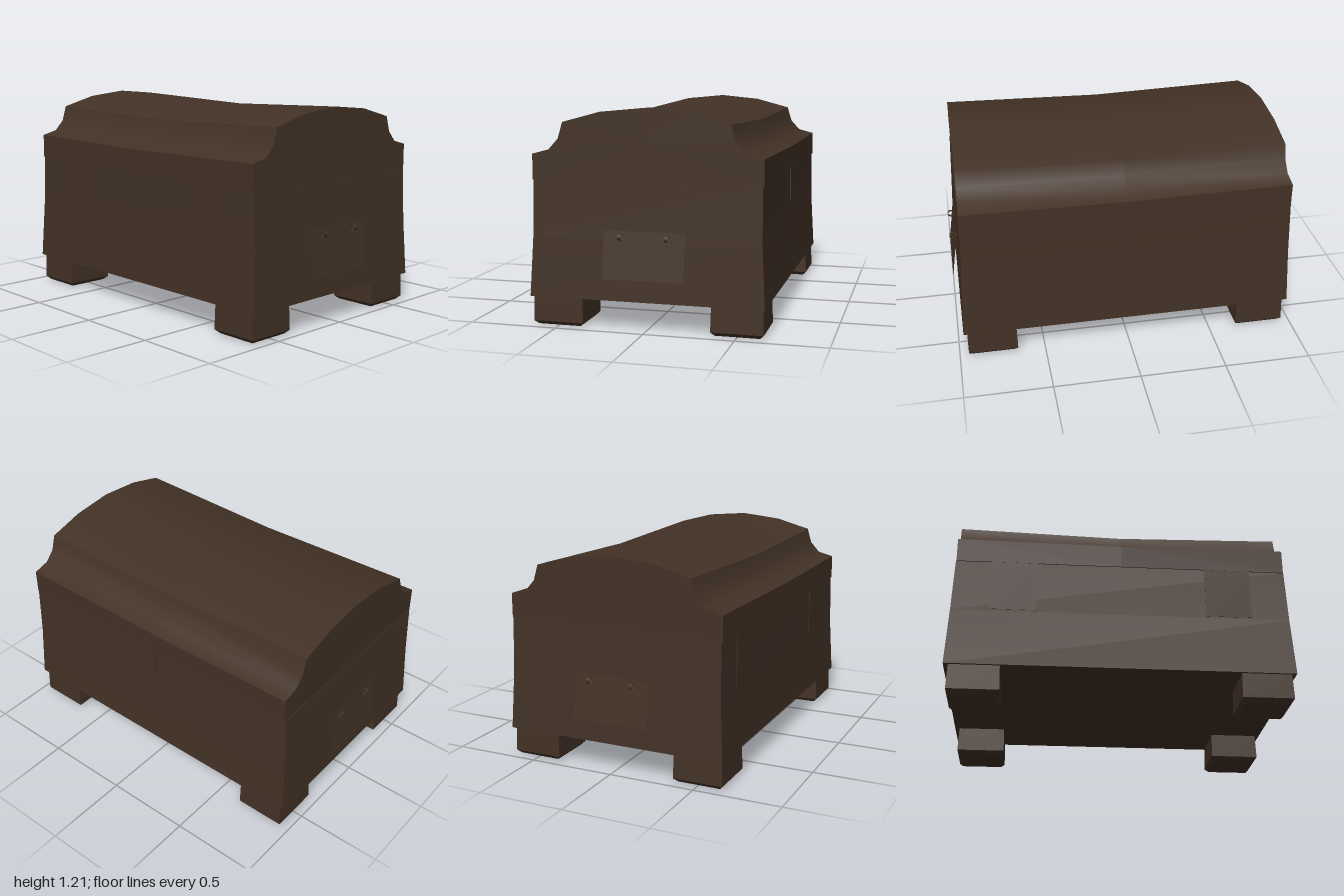
import * as THREE from 'three';
import { toCreasedNormals } from 'three/addons/utils/BufferGeometryUtils.js';

// Closed solid through matching loops of [x, y, z] points, capped at both ends
function loft(loops) {
  const pos = [];
  const tri = (...pts) => pts.forEach((p) => pos.push(...p));
  const n = loops[0].length;
  const centre = (loop) => [0, 1, 2].map((k) => loop.reduce((s, p) => s + p[k], 0) / n);
  const first = loops[0], last = loops[loops.length - 1];
  const c0 = centre(first), c1 = centre(last);
  for (let j = 0; j < n; j++) {
    const k = (j + 1) % n;
    for (let i = 0; i < loops.length - 1; i++) {
      const a = loops[i][j], b = loops[i][k], c = loops[i + 1][k], d = loops[i + 1][j];
      tri(a, b, c);
      tri(a, c, d);
    }
    tri(c0, first[k], first[j]);
    tri(c1, last[j], last[k]);
  }
  const geometry = new THREE.BufferGeometry();
  geometry.setAttribute('position', new THREE.Float32BufferAttribute(pos, 3));
  return toCreasedNormals(geometry, 0.7);
}

// Horizontal rectangle used as a loft section
const rect = (y, hx, hz) => [[-hx, y, hz], [hx, y, hz], [hx, y, -hz], [-hx, y, -hz]];

export function createModel() {
  const chest = new THREE.Group();
  chest.name = 'chest';
  const wood = new THREE.MeshStandardMaterial({ color: 0x433226, side: THREE.DoubleSide });

  const add = (name, geometry, x = 0, y = 0, z = 0, parent = chest) => {
    const mesh = new THREE.Mesh(geometry, wood);
    mesh.name = name;
    mesh.position.set(x, y, z);
    parent.add(mesh);
    return mesh;
  };

  // Flared body
  add('body', loft([rect(0.165, 0.97, 0.655), rect(0.5, 0.955, 0.637), rect(0.81, 0.943, 0.634)]));

  // Domed lid with coved shoulders, sagging towards the middle
  const half = [[0.64, 0.95], [0.545, 0.975], [0.49, 1.035], [0.463, 1.125], [0.25, 1.182]];
  const profile = [
    [0.64, 0.808], [-0.64, 0.808],
    ...half.map(([z, y]) => [-z, y]),
    [0, 1.206],
    ...half.slice().reverse(),
  ];
  const lidLoop = (x, sag) => profile.map(([z, y]) => [x, y - sag * Math.max(0, y - 0.82), z]);
  add('lid', loft([lidLoop(-0.94, 0), lidLoop(0, 0.078), lidLoop(0.94, 0)]));

  // Feet with bevelled soles
  const foot = loft([rect(0, 0.122, 0.122), rect(0.022, 0.144, 0.144), rect(0.165, 0.14, 0.14)]);
  for (const sx of [-1, 1]) {
    for (const sz of [-1, 1]) add('foot', foot, sx * 0.804, 0, sz * 0.502);
  }

  // Hinge straps on the front and latch tab on the back
  for (const sx of [-1, 1]) {
    add('hingeStrap', new THREE.BoxGeometry(0.26, 0.3, 0.006), sx * 0.61, 0.66, 0.636);
  }
  add('latchTab', new THREE.BoxGeometry(0.075, 0.2, 0.008), 0, 0.72, -0.637);

  // Side handles: a hanging sheet held by two small rings
  const ring = new THREE.CylinderGeometry(0.018, 0.018, 0.02, 14, 1, true).rotateX(Math.PI / 2);
  const sheet = new THREE.PlaneGeometry(0.45, Math.hypot(0.26, 0.036));
  for (const side of [-1, 1]) {
    const handle = new THREE.Group();
    handle.name = side > 0 ? 'leftHandle' : 'rightHandle';
    const plate = add('handlePlate', sheet, side * 0.98, 0.42, 0, handle);
    plate.rotation.order = 'YXZ';
    plate.rotation.set(-Math.atan2(0.036, 0.26), (side * Math.PI) / 2, 0);
    for (const z of [-0.13, 0.13]) {
      add('handleRing', ring, side * 0.981, 0.52, z, handle);
      add('ringMount', new THREE.BoxGeometry(0.012, 0.008, 0.02), side * 0.958, 0.52, z, handle);
    }
    chest.add(handle);
  }

  return chest;
}
